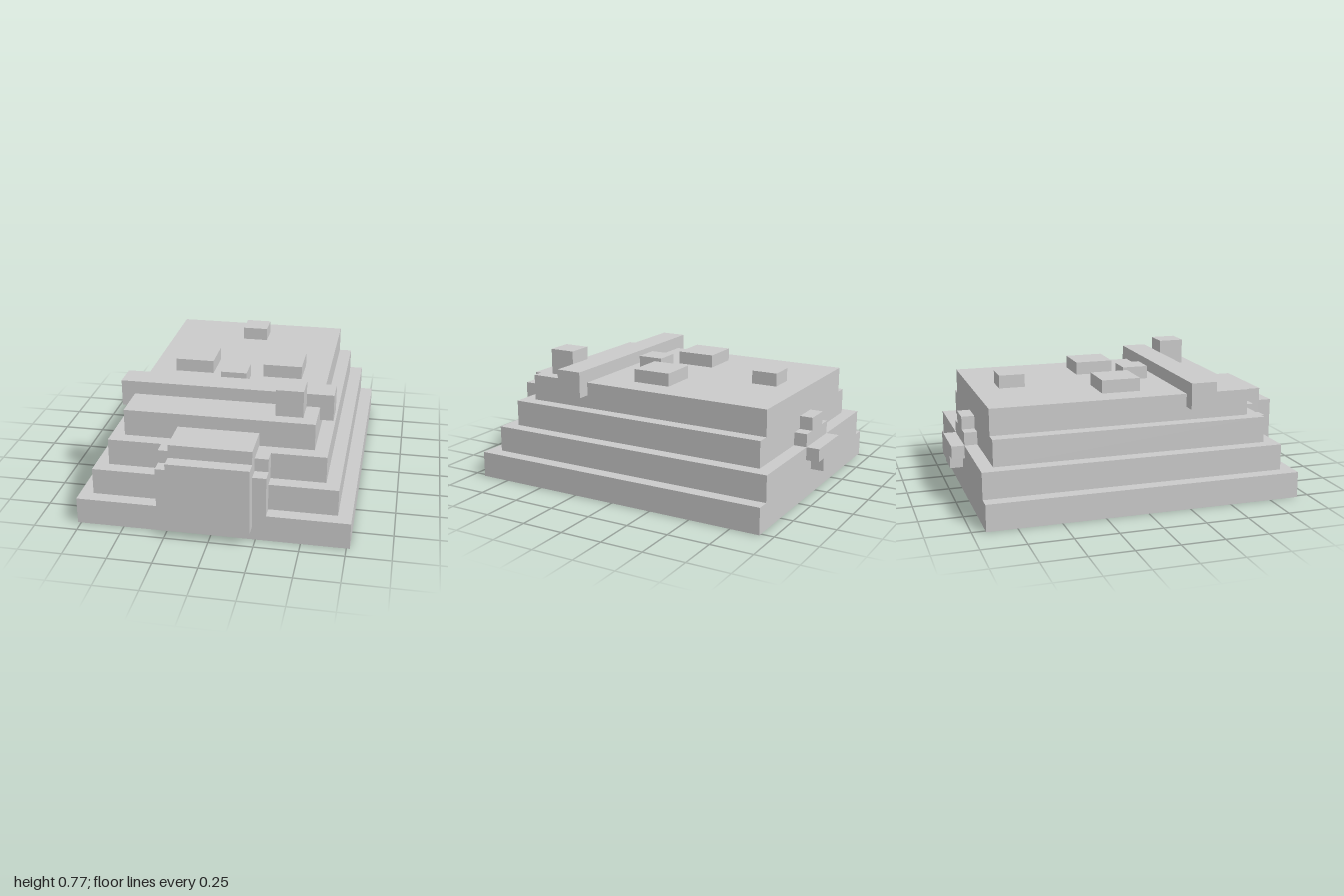
import * as THREE from 'three';

const U = 1 / 13; // one block

export function createModel() {
  const model = new THREE.Group();
  const material = new THREE.MeshStandardMaterial({ color: 0xcccccc, flatShading: true });

  // Box given by its limits in blocks
  function block(name, x0, x1, y0, y1, z0, z1) {
    const mesh = new THREE.Mesh(
      new THREE.BoxGeometry((x1 - x0) * U, (y1 - y0) * U, (z1 - z0) * U), material);
    mesh.position.set((x0 + x1) / 2 * U, (y0 + y1) / 2 * U, (z0 + z1) / 2 * U);
    mesh.name = name;
    model.add(mesh);
  }
  // Box centred on x
  const centred = (name, w, ...limits) => block(name, -w, w, ...limits);

  // Stepped tiers: half width, back, front
  [[10, -12, 12], [9, -12, 11], [8, -11, 10], [7, -11, 9]].forEach(([w, back, front], i) =>
    centred('tier' + (i + 1), w, i * 2, i * 2 + 2, back, front));

  // Front door block with its stepped surround
  centred('doorPanel', 3, 1, 6, 12, 13);
  centred('doorTop', 3, 5, 7, 9, 12);
  centred('surroundLower', 4, 2, 5, 10, 12);
  centred('surroundUpper', 4, 5, 6, 9, 11);

  // Cross bar over the roof and the post in front of it
  centred('crossBar', 8, 7, 9, 4, 6);
  block('post', 4, 6, 8, 10, 6, 8);

  // Raised roof pads
  block('padLeft', 2, 5, 8, 9, -2, 1);
  block('padRight', -5, -2, 8, 9, -2, 1);
  centred('smallPadFront', 1, 8, 9, 1, 3);
  centred('smallPadBack', 1, 8, 9, -9, -7);

  // Stepped ornament at the back
  centred('ornamentBottom', 1, 2, 3, -13, -12);
  centred('ornamentLowerArm', 2, 3, 4, -13, -12);
  centred('ornamentUpperArm', 2, 4, 5, -12, -11);
  centred('ornamentTop', 1, 5, 6, -12, -11);

  return model;
}
